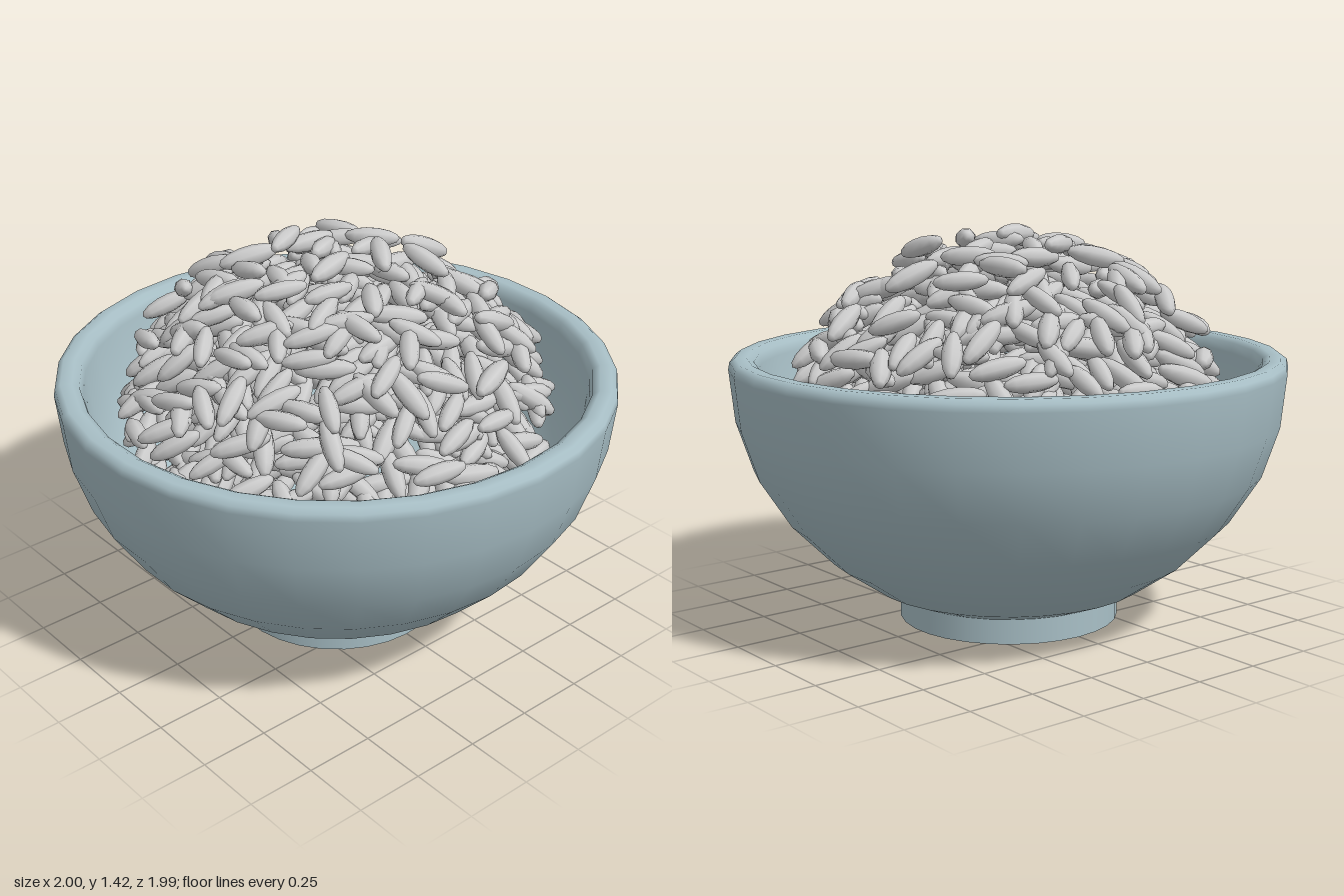
import * as THREE from 'three';
import { mergeGeometries } from 'three/addons/utils/BufferGeometryUtils.js';

// Small seeded generator, values in 0..1
function seeded(seed) {
  return () => {
    seed = (seed * 16807) % 2147483647;
    return seed / 2147483647;
  };
}

// Bowl: closed profile from the foot, up the outside, over the lip, down the inside
// (a doubled point keeps that edge sharp)
function makeBowl() {
  const profile = [
    [0, 0], [0.4, 0], [0.4, 0], [0.4, 0.09], [0.4, 0.09],
    [0.5, 0.13], [0.66, 0.24], [0.81, 0.39], [0.92, 0.56], [0.98, 0.74], [1, 0.93],
    [0.995, 0.955], [0.975, 0.97], [0.935, 0.97], [0.91, 0.955],
    [0.9, 0.92], [0.88, 0.75], [0.82, 0.59], [0.73, 0.45], [0.59, 0.31], [0.45, 0.22], [0.3, 0.17], [0, 0.15],
  ].map(([r, y]) => new THREE.Vector2(r, y));
  const geometry = new THREE.LatheGeometry(profile, 30);
  geometry.rotateY(Math.PI / 2);
  const bowl = new THREE.Mesh(geometry, new THREE.MeshStandardMaterial({ color: 0xa8bfc6 }));
  bowl.name = 'bowl';
  return bowl;
}

// Rice: a loose rounded heap, several grains deep, each grain lying nearly flat
function makeRice() {
  const rand = seeded(4271);
  const grain = new THREE.SphereGeometry(1, 8, 7);
  grain.rotateZ(Math.PI / 2);
  grain.scale(0.1, 0.035, 0.035);

  const count = 860;
  const centreY = 0.78, radius = 0.75, height = 0.62;
  const grains = [];
  const m = new THREE.Matrix4();
  for (let i = 0; i < count; i++) {
    // even spiral over the heap, from the crown to below the rim, with jitter in depth
    const up = 0.995 - 1.35 * ((i + rand()) / count);
    const angle = i * 2.39996 + (rand() - 0.5) * 0.5;
    const ring = Math.sqrt(1 - up * up);
    const depth = 1.01 - 0.42 * rand() ** 1.2;
    const position = new THREE.Vector3(
      Math.cos(angle) * ring * radius * depth,
      centreY + up * height * depth,
      Math.sin(angle) * ring * radius * depth,
    );

    // random heading; grains that run downhill follow part of the slope
    const heading = rand() * Math.PI * 2;
    const downhill = Math.cos(heading - angle);
    const slope = Math.min(1.2, ring / Math.max(0.2, up)) * 0.55;
    const axis = new THREE.Vector3(
      Math.cos(heading),
      -downhill * slope + (rand() - 0.5) * 0.3,
      Math.sin(heading),
    ).normalize();
    const turn = new THREE.Quaternion().setFromUnitVectors(new THREE.Vector3(1, 0, 0), axis);
    const size = 0.92 + 0.16 * rand();
    m.compose(position, turn, new THREE.Vector3(size, size, size));
    grains.push(grain.clone().applyMatrix4(m));
  }
  const rice = new THREE.Mesh(mergeGeometries(grains), new THREE.MeshStandardMaterial({ color: 0xcccccc }));
  rice.name = 'riceGrains';
  return rice;
}

export function createModel() {
  const model = new THREE.Group();
  model.name = 'bowlOfRice';
  model.add(makeBowl(), makeRice());
  return model;
}
